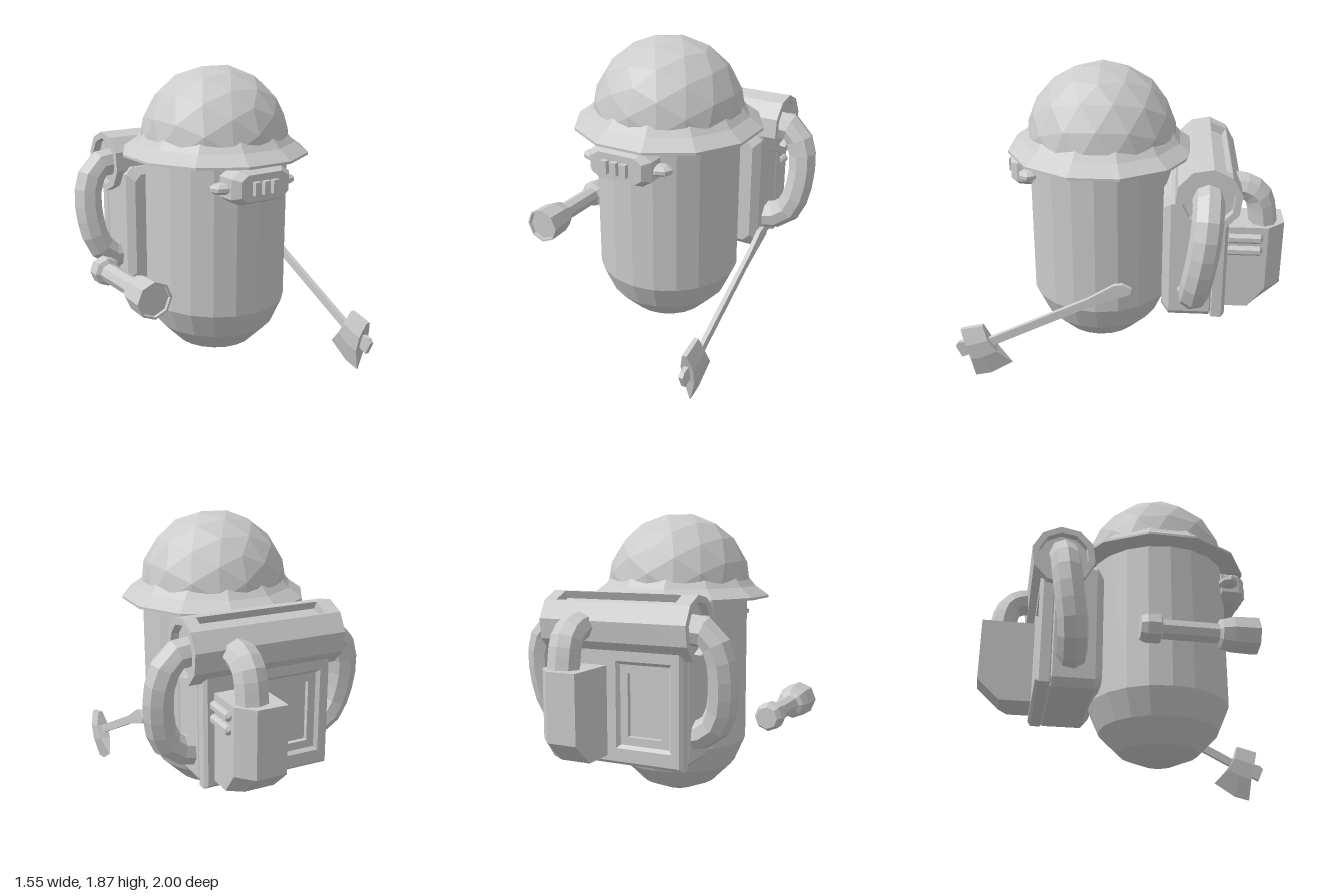
import * as THREE from 'three';

const mat = new THREE.MeshStandardMaterial({ color: 0xcccccc, flatShading: true });
const V = (x, y, z) => new THREE.Vector3(x, y, z);

// Joins equal-sized loops of points with quads, caps both ends, faces outward.
function loft(loops) {
  const n = loops[0].length, pts = loops.flat(), idx = [];
  for (let r = 0; r < loops.length - 1; r++)
    for (let i = 0; i < n; i++) {
      const a = r * n + i, b = r * n + (i + 1) % n;
      idx.push(a, b, b + n, a, b + n, a + n);
    }
  const top = (loops.length - 1) * n;
  for (let i = 1; i < n - 1; i++) idx.push(0, i + 1, i, top, top + i, top + i + 1);
  let volume = 0;
  for (let i = 0; i < idx.length; i += 3)
    volume += pts[idx[i]].dot(pts[idx[i + 1]].clone().cross(pts[idx[i + 2]]));
  if (volume < 0) idx.reverse();
  const g = new THREE.BufferGeometry().setFromPoints(pts);
  g.setIndex(idx);
  const flat = g.toNonIndexed();
  flat.computeVertexNormals();
  return flat;
}

const lathe = (profile, sides, start = 0) =>
  new THREE.LatheGeometry(profile.map(p => new THREE.Vector2(...p)), sides, start);

const shapeOf = (pts, hole) => {
  const s = new THREE.Shape(pts.map(p => new THREE.Vector2(...p)));
  if (hole) s.holes.push(new THREE.Path(hole.map(p => new THREE.Vector2(...p))));
  return s;
};
const rect = (x0, x1, y0, y1) => [[x0, y0], [x1, y0], [x1, y1], [x0, y1]];

// Extrudes a side outline (-z, y) along x from x0 to x1.
const sideExtrude = (shape, x0, x1) =>
  new THREE.ExtrudeGeometry(shape, { depth: x1 - x0, bevelEnabled: false }).rotateY(Math.PI / 2).translate(x0, 0, 0);

// Rectangular block whose edges are cut by c.
function chamferBox(x0, x1, y0, y1, z0, z1, c) {
  const loop = (z, d) => [
    [x0 + d, y0 + d + c], [x0 + d + c, y0 + d], [x1 - d - c, y0 + d], [x1 - d, y0 + d + c],
    [x1 - d, y1 - d - c], [x1 - d - c, y1 - d], [x0 + d + c, y1 - d], [x0 + d, y1 - d - c],
  ].map(([x, y]) => V(x, y, z));
  return loft([loop(z0, c), loop(z0 + c, 0), loop(z1 - c, 0), loop(z1, c)]);
}

export function createModel() {
  const root = new THREE.Group();
  const add = (name, geo, parent = root) => {
    const m = new THREE.Mesh(geo, mat);
    m.name = name;
    parent.add(m);
    return m;
  };
  const group = name => {
    const g = new THREE.Group();
    g.name = name;
    root.add(g);
    return g;
  };

  // Capsule body
  add('body', lathe([[0, 0.05], [0.1, 0.06], [0.245, 0.12], [0.375, 0.25], [0.445, 0.41], [0.445, 1.42], [0, 1.5]], 20))
    .position.set(0.04, 0, 0.135);

  // Helmet: faceted dome cut flat at the brim
  const helmet = group('helmet');
  helmet.position.set(0.035, 0, 0.125);
  const dome = new THREE.IcosahedronGeometry(0.468, 2).translate(0, 1.415, 0);
  const dp = dome.attributes.position;
  for (let i = 0; i < dp.count; i++) dp.setY(i, Math.max(dp.getY(i), 1.39));
  dome.computeVertexNormals();
  add('helmetDome', dome, helmet);
  add('helmetBrim', lathe([[0.43, 1.345], [0.585, 1.345], [0.585, 1.36], [0.5, 1.42], [0.45, 1.48]], 12, Math.PI / 12), helmet);

  // Face mask with vents and side knobs
  const mask = group('mask');
  const maskLoop = (z, s) => [[-0.21, 0.06], [-0.15, 0.1], [0.15, 0.1], [0.21, 0.06], [0.21, -0.06], [0.15, -0.1], [-0.15, -0.1], [-0.21, -0.06]]
    .map(([x, y]) => V(0.01 + x * s, 1.23 + y * s, z));
  add('maskPlate', loft([maskLoop(0.52, 1), maskLoop(0.635, 1), maskLoop(0.68, 0.8)]), mask);
  for (const x of [-0.06, 0.005, 0.07])
    add('maskVent', new THREE.BoxGeometry(0.042, 0.08, 0.06).translate(x, 1.23, 0.68), mask);
  for (const s of [-1, 1])
    add('maskKnob', new THREE.SphereGeometry(1, 8, 5).scale(0.085, 0.035, 0.065).translate(0.01 + s * 0.22, 1.225, 0.56), mask);

  // Backpack case with a framed recess on its back
  const pack = group('backpack');
  add('packCase', chamferBox(-0.36, 0.47, 0.39, 1.2, -0.61, -0.27, 0.045), pack);
  const frame = shapeOf(rect(-0.34, 0.45, 0.42, 1.12), rect(-0.29, 0.07, 0.5, 1.02));
  add('packBackFrame', new THREE.ExtrudeGeometry(frame, { depth: 0.06, bevelThickness: 0.02, bevelSize: 0.02, bevelSegments: 1 })
    .translate(0, 0, -0.64), pack);
  const inner = shapeOf(rect(-0.27, 0.05, 0.52, 1.0), rect(-0.22, 0.0, 0.57, 0.95));
  add('packInnerFrame', new THREE.ExtrudeGeometry(inner, { depth: 0.05, bevelEnabled: false }).translate(0, 0, -0.64), pack);

  // Horizontal roll: hollow ends, solid rims, long slot on an upper facet
  const roll = group('roll');
  roll.position.set(0, 1.215, -0.53);
  const corner = (k, r) => {
    const a = (65 + 18 + 36 * k) * Math.PI / 180;
    return [r * Math.cos(a), r * Math.sin(a)];
  };
  const ring = r => [...Array(10).keys()].map(k => corner(k, r));
  const outer = ring(0.197);
  const [a, b] = [outer[9], outer[0]];
  const f = 65 * Math.PI / 180;
  const notch = (t, d) => [a[0] + (b[0] - a[0]) * t - d * Math.cos(f), a[1] + (b[1] - a[1]) * t - d * Math.sin(f)];
  const slotted = [...outer, notch(0.06, 0), notch(0.06, 0.05), notch(0.94, 0.05), notch(0.94, 0)];
  for (const [x0, x1] of [[-0.41, -0.36], [0.5, 0.55]])
    add('rollEndRing', sideExtrude(shapeOf(outer, ring(0.155)), x0, x1), roll);
  for (const [x0, x1] of [[-0.36, -0.31], [0.47, 0.5]])
    add('rollRim', sideExtrude(shapeOf(outer), x0, x1), roll);
  add('rollSlottedTube', sideExtrude(shapeOf(slotted), -0.31, 0.47), roll);

  // Hoses
  const hose = (name, pts, r) =>
    add(name, new THREE.TubeGeometry(new THREE.CatmullRomCurve3(pts), 9, r, 8));
  const sidePath = [[0.48, 1.21, -0.53], [0.6, 1.19, -0.53], [0.67, 1.06, -0.52], [0.683, 0.9, -0.5],
    [0.65, 0.71, -0.47], [0.58, 0.61, -0.46], [0.44, 0.57, -0.455]];
  hose('leftHose', sidePath.map(p => V(...p)), 0.092);
  hose('rightHose', sidePath.map(([x, y, z]) => V(0.14 - x, y, z)), 0.092);
  const arch = [[0, 1.2, -0.6], [0, 1.215, -0.73], [0, 1.16, -0.83], [0, 0.95, -0.88]];
  const pouchHose = hose('pouchHose', arch.map(p => V(...p)), 0.085);
  pouchHose.scale.x = 1.2;
  pouchHose.position.x = 0.285;

  // Pouch with cut corner, sloped bottom and two side bars
  const pouch = group('pouch');
  const pouchLoop = (y, k) => [[0.13, 0], [0.13, -0.35], [0.32, -0.35], [0.41, -0.25], [0.41, 0]]
    .map(([x, z]) => V(x, y, -0.65 + z * k));
  add('pouchBox', loft([pouchLoop(0.45, 0.6), pouchLoop(0.58, 1), pouchLoop(0.99, 1)]), pouch);
  for (const y of [0.92, 0.84])
    add('pouchBar', chamferBox(0.38, 0.44, y - 0.028, y + 0.028, -0.87, -0.65, 0.015), pouch);

  // Flashlight, lying along z with a recessed lens
  add('flashlight', lathe([[0, -0.11], [0.068, -0.11], [0.088, -0.075], [0.088, 0], [0.06, 0.015], [0.06, 0.34],
    [0.088, 0.355], [0.108, 0.42], [0.113, 0.565], [0.1, 0.565], [0.095, 0.55], [0, 0.55]], 8).rotateX(Math.PI / 2))
    .position.set(-0.665, 0.64, 0);

  // Axe
  const axe = group('axe');
  const handle = [[-0.04, 0.695], [-0.095, 0.665], [-0.085, 0.63], [0.17, 0.53], [0.74, 0.245], [0.91, 0.165],
    [0.965, 0.14], [1.0, 0.22], [0.98, 0.245], [0.78, 0.285], [0.165, 0.59], [0.01, 0.688]];
  add('axeHandle', sideExtrude(shapeOf(handle.map(([z, y]) => [-z, y])), 0.602, 0.63), axe);
  // each row: three (z, y) points across the head, then half thickness
  const rows = [
    [[0.96, 0.34], [0.89, 0.358], [0.82, 0.375], 0.014],
    [[0.93, 0.24], [0.86, 0.26], [0.79, 0.285], 0.04],
    [[0.905, 0.14], [0.825, 0.16], [0.74, 0.205], 0.036],
    [[0.89, 0], [0.79, 0.022], [0.65, 0.11], 0.002],
  ];
  add('axeHead', loft(rows.map(([p, q, r, h]) => [
    ...[p, q, r].map(([z, y]) => V(0.617 + h, y, z)),
    ...[r, q, p].map(([z, y]) => V(0.617 - h, y, z)),
  ])), axe);

  return root;
}
